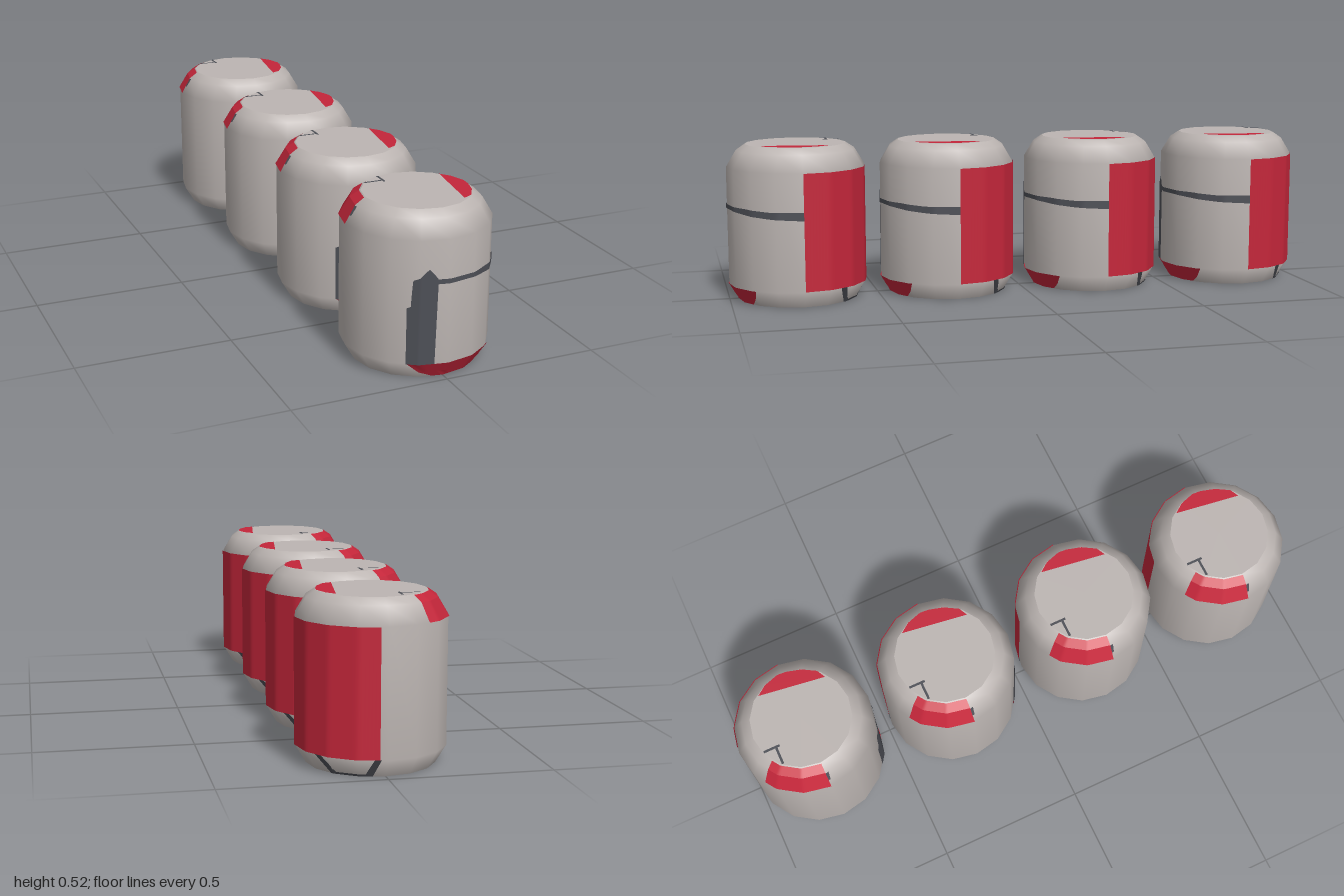
import * as THREE from 'three';

const SIDES = 16;
const PROFILE = [[0.197, 0], [0.23, 0.055], [0.23, 0.445], [0.197, 0.5], [0.167, 0.52]];
const LIFT = 0.003;

// Piecewise linear lookup in a list of [key, value] pairs
function lookup(pairs, k) {
  for (let i = 1; i < pairs.length; i++) {
    const [k0, v0] = pairs[i - 1], [k1, v1] = pairs[i];
    if (k <= k1 || i === pairs.length - 1) return v0 + (v1 - v0) * (k - k0) / (k1 - k0);
  }
}
const radiusAt = PROFILE.map(([r, y]) => [y, r]);

// Point just outside the faceted can wall; 0 degrees is the front, 90 is +x
function wallPoint(deg, y) {
  const a = THREE.MathUtils.degToRad(deg), step = 2 * Math.PI / SIDES;
  const inFacet = THREE.MathUtils.euclideanModulo(a, step) - step / 2;
  const r = lookup(radiusAt, y) * Math.cos(step / 2) / Math.cos(inFacet) + LIFT;
  return [r * Math.sin(a), y, r * Math.cos(a)];
}

// Painted patch on the wall between a lower and an upper edge of [degrees, height]
function wallPatch(lower, upper, columns = 32) {
  const pos = [], index = [];
  for (let i = 0; i <= columns; i++) {
    for (const edge of [lower, upper]) {
      const deg = THREE.MathUtils.lerp(edge[0][0], edge[edge.length - 1][0], i / columns);
      pos.push(...wallPoint(deg, lookup(edge, deg)));
    }
    if (i < columns) {
      const l = i * 2;
      index.push(l, l + 2, l + 3, l, l + 3, l + 1);
    }
  }
  const g = new THREE.BufferGeometry();
  g.setAttribute('position', new THREE.Float32BufferAttribute(pos, 3));
  g.setIndex(index);
  g.computeVertexNormals();
  return g;
}

// Flat plate on the lid from [x, z] corners
function lidPlate(points) {
  const shape = new THREE.Shape(points.map(([x, z]) => new THREE.Vector2(x, -z)));
  return new THREE.ShapeGeometry(shape).rotateX(-Math.PI / 2).translate(0, 0.5225, 0);
}

export function createModel() {
  const mat = (name, color, side = THREE.DoubleSide) => {
    const m = new THREE.MeshStandardMaterial({ color, side });
    m.name = name;
    return m;
  };
  const grey = mat('warm grey', 0xbcb5b2, THREE.FrontSide);
  const red = mat('red', 0xc4263a);
  const dark = mat('dark grey', 0x4d4f56);

  // Can body: the doubled rim points keep the base and lid crisp
  const outline = [[0, 0], PROFILE[0], ...PROFILE, PROFILE[4], [0, 0.52]];
  const body = new THREE.LatheGeometry(outline.map(([r, y]) => new THREE.Vector2(r, y)), SIDES);

  const parts = [
    ['body', body, grey],
    // Large red panel on the left rear
    ['sidePanel', wallPatch([[90, 0.057], [174, 0.057]], [[90, 0.444], [174, 0.444]]), red],
    // Red chamfer under the front
    ['lowerChamferPatch', wallPatch([[-10, 0.001], [36, 0.001]], [[-22, 0.022], [43, 0.022]]), red],
    ['lowerChamferPatch', wallPatch([[-22, 0.022], [43, 0.022]], [[-31, 0.055], [48, 0.055]]), red],
    // Red shoulder at the right rear
    ['shoulderPatch', wallPatch([[214, 0.445], [270, 0.445]], [[214, 0.5], [270, 0.5]]), red],
    ['shoulderPatch', wallPatch([[214, 0.5], [270, 0.5]], [[214, 0.519], [270, 0.519]]), red],
    ['shoulderMark', wallPatch([[270, 0.47], [272, 0.47]], [[270, 0.498], [273, 0.498]], 2), dark],
    // Dark upright on the front and the band running from it
    ['frontUpright', wallPatch([[-32, 0.055], [-10.5, 0.055]],
      [[-32, 0.235], [-29, 0.24], [-28, 0.322], [-23, 0.33], [-16, 0.357], [-12, 0.34], [-9, 0.324]]), dark],
    ['frontBand', wallPatch([[-10, 0.309], [20, 0.309], [60, 0.296], [90, 0.29]],
      [[-10, 0.324], [40, 0.323], [60, 0.318], [90, 0.318]]), dark],
    // Dark lines on the lower chamfer below the side panel
    ['chamferLine', wallPatch([[132, 0.001], [139, 0.001]], [[122, 0.057], [128, 0.057]], 6), dark],
    ['chamferLine', wallPatch([[162, 0.001], [169, 0.001]], [[170, 0.057], [175, 0.057]], 6), dark],
    ['chamferLine', wallPatch([[136, 0.001], [165, 0.001]], [[136, 0.008], [165, 0.008]], 12), dark],
    // Lid markings
    ['lidPatch', lidPlate([[0.127, -0.098], [0.152, -0.065], [0.168, -0.015], [0.166, 0.015],
      [0.152, 0.065], [0.125, 0.11], [0.095, 0.125]]), red],
    ['lidMark', lidPlate([[-0.12, -0.115], [-0.055, -0.115], [-0.055, -0.107], [-0.12, -0.107]]), dark],
    ['lidMark', lidPlate([[-0.062, -0.153], [-0.054, -0.153], [-0.054, -0.098], [-0.062, -0.098]]), dark],
  ];

  // Four identical cans in a row
  const model = new THREE.Group();
  model.name = 'canRow';
  for (let i = 0; i < 4; i++) {
    const can = new THREE.Group();
    can.name = 'can' + (i + 1);
    can.position.z = 0.77 - i * 0.77 * 2 / 3;
    for (const [name, geometry, material] of parts) {
      const mesh = new THREE.Mesh(geometry, material);
      mesh.name = name;
      can.add(mesh);
    }
    model.add(can);
  }
  return model;
}
